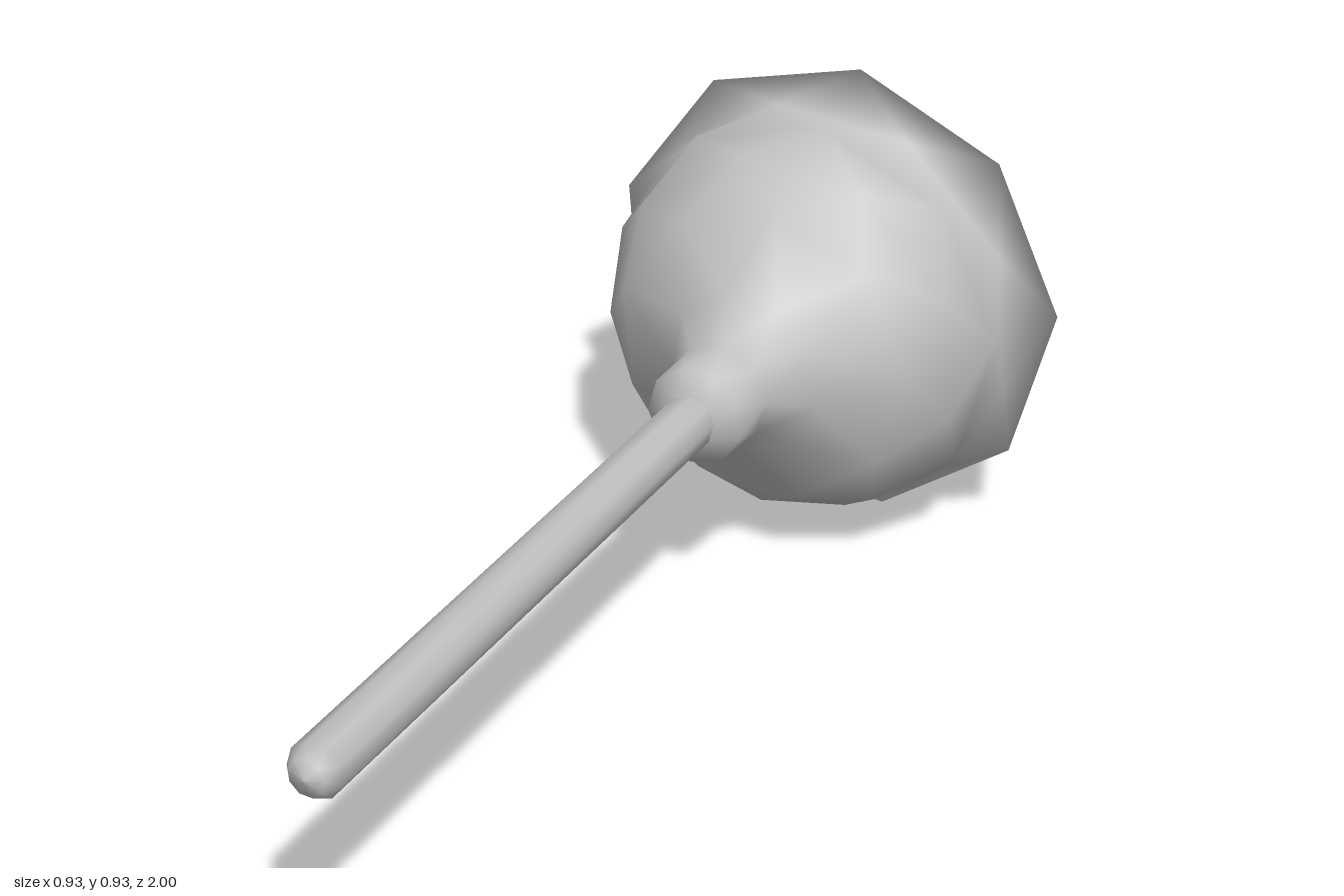
import * as THREE from 'three';

const SIDES = 9;

// Skins a profile of [radius, z] rings around the z axis.
// Every second ring is turned by half a step, so the facets form triangles.
function twistedLoft(name, profile, material) {
  const step = (Math.PI * 2) / SIDES;
  const start = THREE.MathUtils.degToRad(5);
  const positions = [];
  const index = [];
  profile.forEach(([r, z], k) => {
    const odd = k % 2;
    for (let i = 0; i < SIDES; i++) {
      const angle = start + (i + odd / 2) * step;
      positions.push(r * Math.cos(angle), r * Math.sin(angle), z);
      if (k === profile.length - 1) continue;
      const j = (i + 1) % SIDES;
      const a = k * SIDES;
      const b = a + SIDES;
      if (odd) index.push(a + i, a + j, b + j, a + i, b + j, b + i);
      else index.push(a + i, a + j, b + i, b + i, a + j, b + j);
    }
  });
  const geometry = new THREE.BufferGeometry();
  geometry.setAttribute('position', new THREE.Float32BufferAttribute(positions, 3));
  geometry.setIndex(index);
  geometry.computeVertexNormals();
  const mesh = new THREE.Mesh(geometry, material);
  mesh.name = name;
  return mesh;
}

export function createModel() {
  const model = new THREE.Group();
  model.name = 'plunger';

  const grey = new THREE.MeshStandardMaterial({ color: 0xc0c0c0, side: THREE.DoubleSide });
  grey.name = 'plain grey';

  // Bell-shaped cup: hollow inside, flared lip, bulge, shoulder and collar
  const cup = twistedLoft('cup', [
    [0, -0.635], [0.12, -0.645], [0.26, -0.69], [0.325, -0.76], [0.36, -0.86], [0.36, -0.95],
    [0.475, -1],
    [0.408, -0.94], [0.41, -0.85], [0.372, -0.75], [0.303, -0.66], [0.16, -0.585],
    [0.101, -0.475], [0.098, -0.38], [0.05, -0.36],
  ], grey);
  cup.position.set(-0.008, 0.459, 0);

  // Long handle with a rounded tip
  const handle = twistedLoft('handle', [
    [0.053, -0.37], [0.053, 0.965], [0.036, 0.99], [0, 1],
  ], grey);
  handle.position.set(-0.012, 0.455, 0);

  model.add(cup, handle);
  return model;
}
